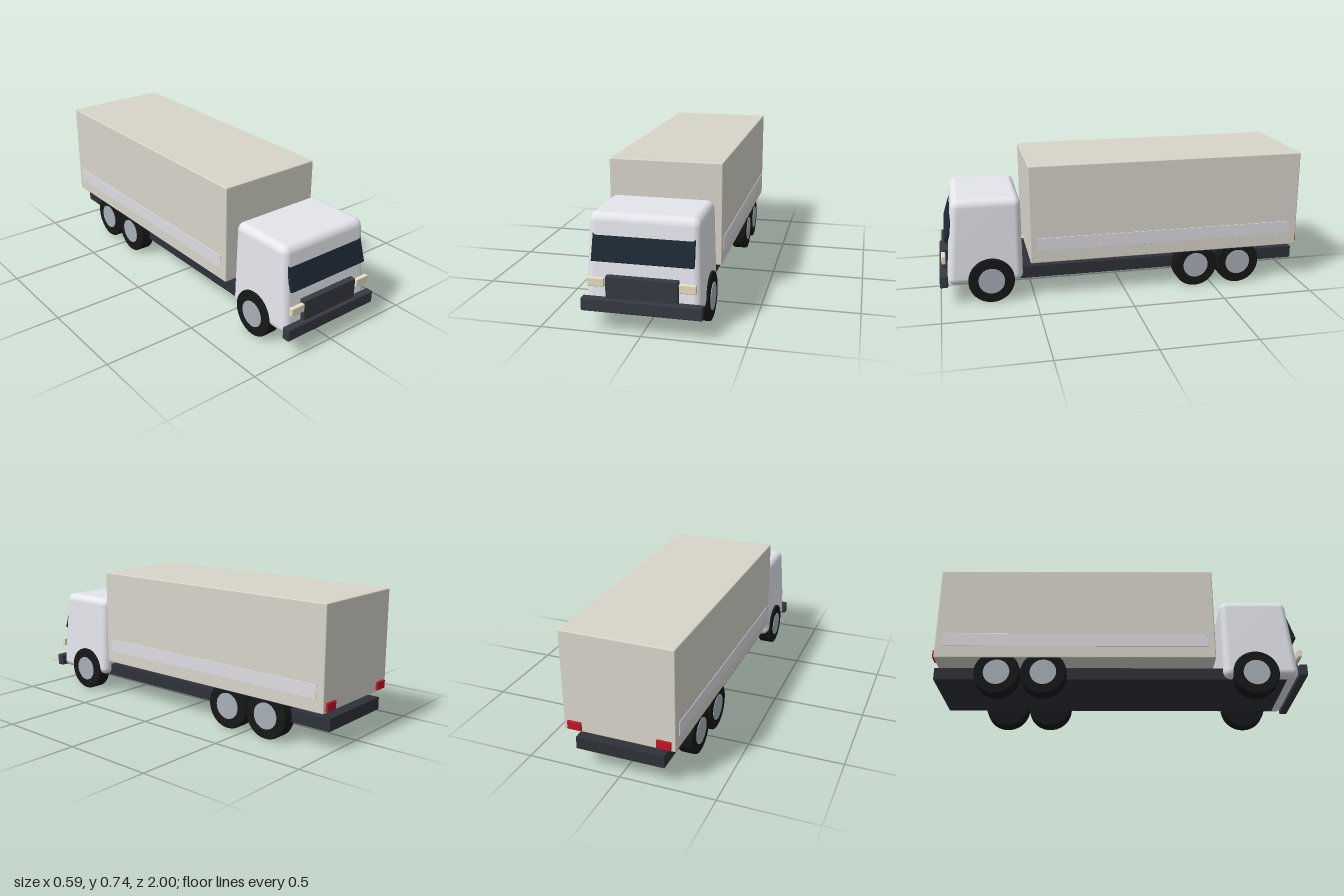
import * as THREE from 'three';
import { mergeVertices } from 'three/addons/utils/BufferGeometryUtils.js';
import { RoundedBoxGeometry } from 'three/addons/geometries/RoundedBoxGeometry.js';

const mat = (color) => new THREE.MeshStandardMaterial({ color });
const M = {
  cab: mat(0xe4e6ec), cargo: mat(0xd8d5ca), panel: mat(0xdcdde2), chassis: mat(0x2e3138),
  trim: mat(0x363a42), glass: mat(0x1c2833), tyre: mat(0x161718), hub: mat(0xa8b0b8),
  headlight: mat(0xe6dfc2), tail: mat(0xc41425),
};

// Softly rounded block given by its extents on each axis
function block(name, material, [x0, x1], [y0, y1], [z0, z1], r = 0.004) {
  const mesh = new THREE.Mesh(new RoundedBoxGeometry(x1 - x0, y1 - y0, z1 - z0, 3, r), material);
  mesh.position.set((x0 + x1) / 2, (y0 + y1) / 2, (z0 + z1) / 2);
  mesh.name = name;
  return mesh;
}

// Rounded cab, narrowing upwards with a raked front and an upright back
function makeCab() {
  const w = 0.566, h = 0.46, d = 0.403, back = 0.56, floor = 0.105;
  let g = new RoundedBoxGeometry(w, h, d, 6, 0.04);
  const p = g.attributes.position;
  for (let i = 0; i < p.count; i++) {
    const t = p.getY(i) / h + 0.5;
    p.setXYZ(i,
      p.getX(i) * (1 - 0.06 * t),
      p.getY(i) + h / 2 + floor,
      back + (p.getZ(i) + d / 2) * (1 - 0.11 * t));
  }
  g.deleteAttribute('normal');
  g.deleteAttribute('uv');
  g = mergeVertices(g, 1e-5);
  g.computeVertexNormals();
  const cab = new THREE.Mesh(g, M.cab);
  cab.name = 'cab';
  return cab;
}

// Tyre with eased shoulders and a hub disc on its outer face
function makeWheel(side, z) {
  const R = 0.123, hw = 0.041, e = 0.007;
  const wheel = new THREE.Group();
  const profile = [[0, -hw], [R - e, -hw], [R - e, -hw], [R - 0.002, -hw + 0.002], [R, -hw + e], [R, -hw + e],
    [R, hw - e], [R, hw - e], [R - 0.002, hw - 0.002], [R - e, hw], [R - e, hw], [0, hw]]
    .map(([x, y]) => new THREE.Vector2(x, y));
  const tyre = new THREE.Mesh(new THREE.LatheGeometry(profile, 40), M.tyre);
  tyre.name = 'tyre';
  const hub = new THREE.Mesh(new THREE.CylinderGeometry(0.07, 0.07, 0.01, 32), M.hub);
  hub.position.y = hw - 0.002;
  hub.name = 'hub';
  wheel.add(tyre, hub);
  wheel.rotation.z = -side * Math.PI / 2;
  wheel.position.set(side * 0.25, R, z);
  return wheel;
}

export function createModel() {
  const truck = new THREE.Group();
  truck.name = 'boxTruck';

  // Main bodies
  truck.add(
    block('chassis', M.chassis, [-0.235, 0.235], [0.103, 0.17], [-0.99, 0.9], 0.002),
    block('cargoBox', M.cargo, [-0.2935, 0.2935], [0.205, 0.737], [-0.988, 0.52], 0.006),
    makeCab(),
  );

  // Cab front: bumper, grille and raked windscreen
  truck.add(
    block('bumper', M.trim, [-0.293, 0.293], [0.104, 0.169], [0.957, 1], 0.006),
    block('grille', M.trim, [-0.175, 0.175], [0.15, 0.277], [0.945, 0.98]),
  );
  const screen = block('windscreen', M.glass, [-0.247, 0.247], [-0.078, 0.078], [-0.01, 0.01]);
  screen.position.set(0, 0.415, 0.933);
  screen.rotation.x = -0.31;
  truck.add(screen);

  // Mirrored lamps, side panels and wheels
  for (const side of [1, -1]) {
    const span = (a, b) => (side > 0 ? [a, b] : [-b, -a]);
    const tag = side > 0 ? 'left' : 'right';
    truck.add(
      block(tag + 'Headlight', M.headlight, span(0.18, 0.262), [0.225, 0.268], [0.963, 0.985]),
      block(tag + 'TailLight', M.tail, span(0.198, 0.272), [0.214, 0.258], [-1, -0.98], 0.003),
      block(tag + 'SidePanel', M.panel, span(0.288, 0.2965), [0.272, 0.345], [-0.945, 0.48], 0.001),
    );
    for (const [axle, z] of [['Front', 0.73], ['Middle', -0.4], ['Rear', -0.647]]) {
      const wheel = makeWheel(side, z);
      wheel.name = tag + axle + 'Wheel';
      truck.add(wheel);
    }
  }
  return truck;
}
